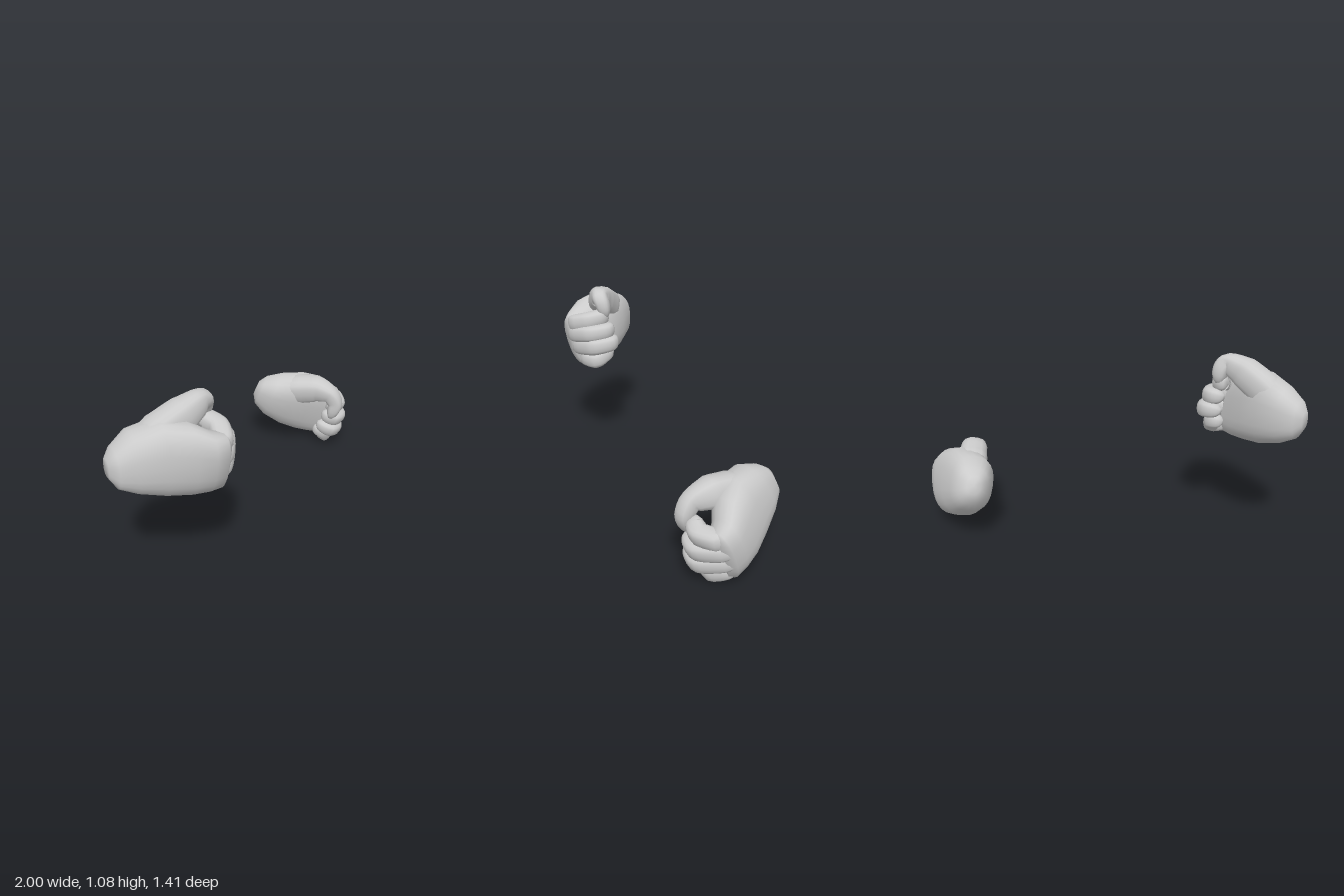
import * as THREE from 'three';

const V = (x, y, z) => new THREE.Vector3(x, y, z);
const SIDES = 16;

// Closed skin over a row of rings, with a point closing each end
function loft(rings) {
  const n = rings[0].length, pos = [], idx = [];
  rings.forEach(r => r.forEach(p => pos.push(p.x, p.y, p.z)));
  for (let i = 0; i < rings.length - 1; i++) {
    for (let j = 0; j < n; j++) {
      const k = (j + 1) % n;
      const a = i * n + j, b = i * n + k, c = a + n, d = b + n;
      idx.push(a, b, c, b, d, c);
    }
  }
  const cap = (r, start, flip) => {
    const c = r.reduce((s, p) => s.add(p), V(0, 0, 0)).divideScalar(n);
    const ci = pos.length / 3;
    pos.push(c.x, c.y, c.z);
    for (let j = 0; j < n; j++) {
      const a = start + j, b = start + (j + 1) % n;
      if (flip) idx.push(ci, b, a); else idx.push(ci, a, b);
    }
  };
  cap(rings[0], 0, true);
  cap(rings[rings.length - 1], (rings.length - 1) * n, false);
  const g = new THREE.BufferGeometry();
  g.setAttribute('position', new THREE.Float32BufferAttribute(pos, 3));
  g.setIndex(idx);
  return g;
}

const soft = (v, e) => Math.sign(v) * Math.pow(Math.abs(v), e);

// Palm and wrist: [x, yLow, yHigh, zPalm, zBack, tilt of the back]
function palmGeometry() {
  const rows = [
    [-1.0, 0.75, 0.85, 0.42, 0.50, 0],
    [-0.965, 0.69, 0.90, 0.38, 0.55, 0],
    [-0.88, 0.645, 0.965, 0.345, 0.59, 0],
    [-0.75, 0.605, 1.01, 0.365, 0.635, 0.05],
    [-0.63, 0.591, 0.995, 0.41, 0.68, 0.12],
    [-0.54, 0.586, 0.945, 0.47, 0.69, 0.22],
    [-0.475, 0.59, 0.925, 0.51, 0.68, 0.25],
    [-0.445, 0.62, 0.90, 0.54, 0.64, 0.25],
  ];
  return loft(rows.map(([x, y0, y1, z0, z1, tilt]) => {
    const ring = [];
    for (let j = 0; j < 24; j++) {
      const a = j / 24 * Math.PI * 2;
      const dy = soft(Math.cos(a), 0.8) * (y1 - y0) / 2;
      const dz = soft(Math.sin(a), 0.8) * (z1 - z0) / 2;
      ring.push(V(x, (y0 + y1) / 2 + dy, (z0 + z1) / 2 + dz + tilt * dy));
    }
    return ring;
  }));
}

// Digit: rounded sweep along a bent path; radii are spread along it
function digitGeometry(points, radii, sideAxis, widthScale) {
  const curve = new THREE.CatmullRomCurve3(points, false, 'catmullrom', 0.32);
  const rings = [], steps = 20;
  for (let i = 0; i <= steps; i++) {
    const t = i / steps, c = curve.getPoint(t), T = curve.getTangent(t);
    const side = sideAxis.clone().addScaledVector(T, -sideAxis.dot(T)).normalize();
    const N = side.clone().cross(T);
    const f = t * (radii.length - 1), k = Math.min(Math.floor(f), radii.length - 2);
    let r = THREE.MathUtils.lerp(radii[k], radii[k + 1], f - k);
    if (t > 0.85) r *= Math.sqrt(Math.max(0.12, 1 - ((t - 0.85) / 0.15) ** 2));
    const ring = [];
    for (let j = 0; j < SIDES; j++) {
      const a = j / SIDES * Math.PI * 2;
      ring.push(c.clone()
        .addScaledVector(N, soft(Math.cos(a), 0.75) * r)
        .addScaledVector(side, soft(Math.sin(a), 0.75) * r * widthScale));
    }
    rings.push(ring);
  }
  return loft(rings);
}

// Fingers: [name, yKnuckle, yMiddle, yTip, zKnuckle, xMiddle, zCurl, radius]
const FINGERS = [
  ['indexFinger', 0.872, 0.900, 0.918, 0.625, -0.450, 0.455, 0.054],
  ['middleFinger', 0.800, 0.828, 0.842, 0.625, -0.410, 0.415, 0.053],
  ['ringFinger', 0.720, 0.747, 0.765, 0.600, -0.395, 0.388, 0.053],
  ['littleFinger', 0.642, 0.645, 0.688, 0.557, -0.425, 0.420, 0.048],
];

// Thumb ends: one arches high over the index finger, one closes lower
const THUMB_BASE = [V(-0.85, 0.86, 0.465), V(-0.74, 0.925, 0.475)];
const HIGH_THUMB = [
  V(-0.61, 0.995, 0.482), V(-0.51, 1.035, 0.465),
  V(-0.483, 1.0, 0.44), V(-0.478, 0.92, 0.42),
];
const LOW_THUMB = [
  V(-0.63, 0.995, 0.47), V(-0.535, 1.015, 0.445),
  V(-0.475, 0.97, 0.428), V(-0.465, 0.87, 0.395),
];

function createHand(name, matrix, mirrored, thumbEnd, open) {
  const hand = new THREE.Group();
  hand.name = name;
  const material = new THREE.MeshStandardMaterial({ color: 0xcccccc });
  const add = (part, g) => {
    g.applyMatrix4(matrix);
    if (mirrored) g.index.array.reverse();
    g.computeVertexNormals();
    const m = new THREE.Mesh(g, material);
    m.name = part;
    hand.add(m);
  };

  add('palm', palmGeometry());

  FINGERS.forEach(([part, yk, ym, yt, zk, xm, zc, r]) => add(part, digitGeometry([
    V(-0.62, yk, zk - 0.05),
    V(-0.485, yk, zk),
    V(xm, ym, (zk + zc) / 2 - 0.01),
    V(xm - 0.03, yt, zc + open),
    V(-0.52, yt, zc + open + 0.005),
  ], [r * 0.8, r, r, r * 0.92, r * 0.8], V(0, 1, 0), 0.98)));

  add('thumb', digitGeometry([...THUMB_BASE, ...thumbEnd],
    [0.075, 0.093, 0.085, 0.055, 0.047, 0.038], V(0, 0, 1), 0.95));
  return hand;
}

export function createModel() {
  const model = new THREE.Group();
  model.name = 'fists';
  model.add(createHand('rightFist', new THREE.Matrix4(), false, HIGH_THUMB, 0));

  // The other fist is the mirror image, turned and lowered
  const m = new THREE.Matrix4().makeBasis(
    V(0.726, -0.375, 0.578), V(0.144, 0.897, 0.413), V(0.676, 0.217, -0.706));
  m.setPosition(V(0.45, 0.405, -0.645));
  m.multiply(new THREE.Matrix4().makeTranslation(1.0, -0.8, -0.46));
  model.add(createHand('leftFist', m, true, LOW_THUMB, 0.025));
  return model;
}
